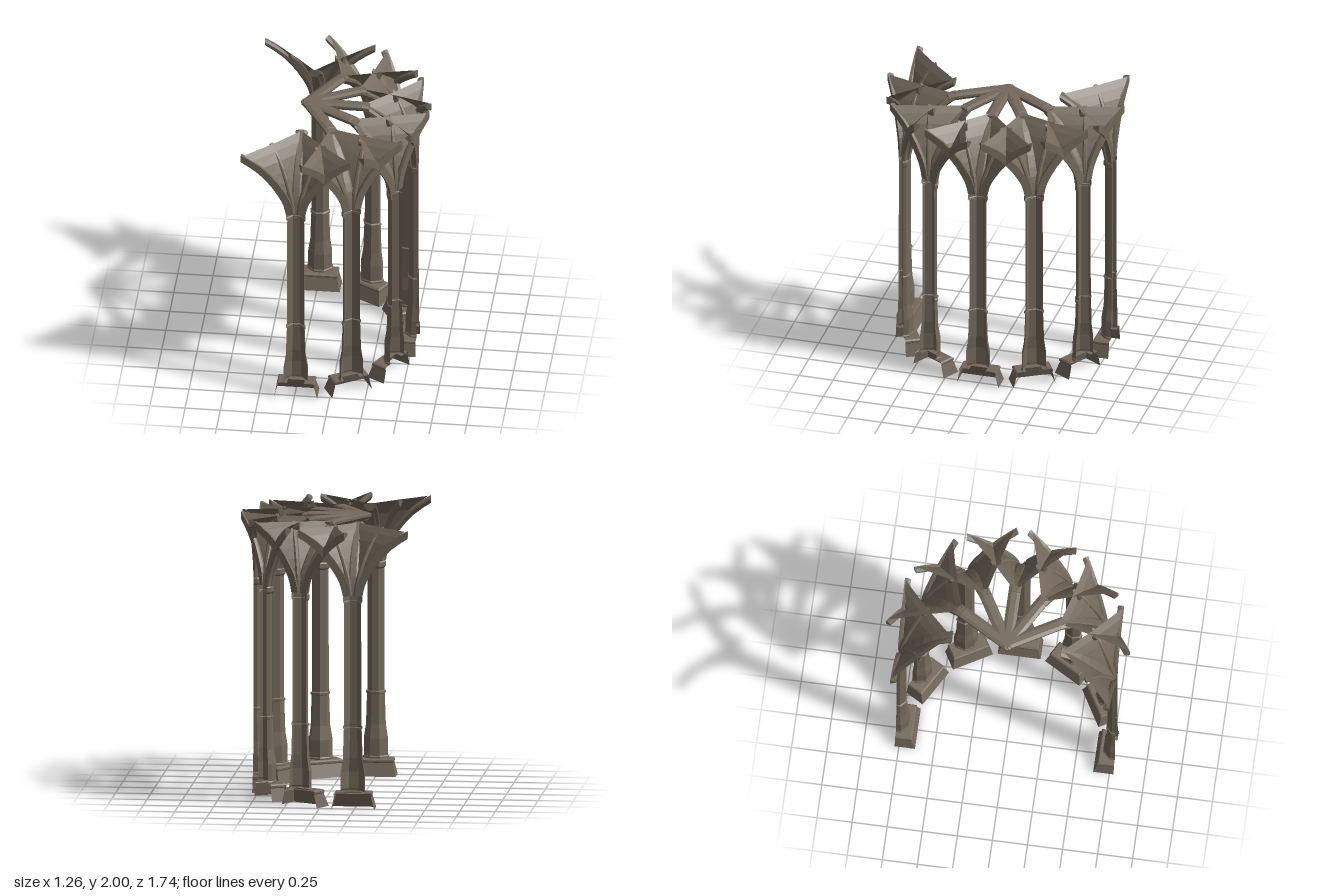
import * as THREE from 'three';

const stone = new THREE.MeshStandardMaterial({ color: 0x73685a, side: THREE.DoubleSide });
stone.name = 'weathered stone';

// Skins a row of cross-sections (lists of [x, y, z]) with flat facets
function skin(name, sections, { closed = false, capStart = false, capEnd = false } = {}) {
  const pos = [];
  const n = sections[0].length;
  for (let i = 0; i < sections.length - 1; i++) {
    const a = sections[i], b = sections[i + 1];
    for (let j = 0; j < (closed ? n : n - 1); j++) {
      const k = (j + 1) % n;
      pos.push(...a[j], ...a[k], ...b[k], ...a[j], ...b[k], ...b[j]);
    }
  }
  const cap = (s) => {
    const c = [0, 1, 2].map((d) => s.reduce((sum, p) => sum + p[d], 0) / n);
    for (let j = 0; j < n; j++) pos.push(...c, ...s[j], ...s[(j + 1) % n]);
  };
  if (capStart) cap(sections[0]);
  if (capEnd) cap(sections[sections.length - 1]);
  const g = new THREE.BufferGeometry();
  g.setAttribute('position', new THREE.Float32BufferAttribute(pos, 3));
  g.computeVertexNormals();
  const mesh = new THREE.Mesh(g, stone);
  mesh.name = name;
  return mesh;
}

// Half octagon, open towards the wall
const halfOctagon = (w, y) =>
  [[1, 0], [1, 0.41], [0.41, 1], [-0.41, 1], [-1, 0.41], [-1, 0]].map(([x, z]) => [x * w, y, z * w]);

// Half rectangle, open towards the wall
const halfBlock = (w, d, y) => [[w, y, 0], [w, y, d], [-w, y, d], [-w, y, 0]];

// Underside of an arch springing from the capital: distance out, height
const archCurve = new THREE.SplineCurve(
  [[0.07, 1.53], [0.083, 1.59], [0.11, 1.655], [0.185, 1.77], [0.28, 1.87], [0.39, 1.945]]
    .map(([u, y]) => new THREE.Vector2(u, y)));
const STEPS = 9;
const archPath = archCurve.getPoints(STEPS).map((p, i) => {
  const a = (i / STEPS) * Math.PI / 2;
  return { u: p.x, y: p.y, nu: -Math.cos(a), ny: Math.sin(a) };
});

// Moulded rib profile: offset across, height above the underside
const halfMould = [[0.013, 0], [0.026, 0.014], [0.043, 0.028], [0.043, 0.045], [0.02, 0.055]];
const fullMould = [...halfMould, ...halfMould.map(([v, h]) => [-v, h]).reverse()];
const wallMould = [[0, 0], ...halfMould, [0, 0.055]];
const thinMould = fullMould.map(([v, h]) => [v * 0.4, h]);

// Sweeps a profile along a path; place() turns (out, height, across) into a point
function rib(name, path, profile, place) {
  const sections = path.map((p) => profile.map(([v, h]) =>
    place(p.u + p.nu * h, Math.min(2, p.y + p.ny * h), v)));
  return skin(name, sections, { closed: true, capStart: true, capEnd: true });
}

function buildPier(hasLongRib) {
  const pier = new THREE.Group();

  // Splayed plinth with a rolled lip
  pier.add(skin('plinth', [
    halfBlock(0.153, 0.145, 0), halfBlock(0.13, 0.115, 0.095), halfBlock(0.134, 0.12, 0.1),
    halfBlock(0.134, 0.12, 0.113), halfBlock(0.125, 0.11, 0.122), halfBlock(0.06, 0.05, 0.122),
  ]));

  // Pedestal, shaft and capital
  const stack = (name, rows) => pier.add(skin(name, rows.map(([w, y]) => halfOctagon(w, y))));
  stack('pedestal', [[0.09, 0.12], [0.09, 0.132], [0.084, 0.14], [0.084, 0.26], [0.069, 0.36], [0.062, 0.58]]);
  stack('shaftRing', [[0.06, 0.578], [0.069, 0.583], [0.069, 0.596], [0.06, 0.603]]);
  stack('shaft', [[0.06, 0.6], [0.059, 1.485]]);
  stack('capital', [[0.058, 1.475], [0.069, 1.488], [0.069, 1.52], [0.062, 1.53], [0.02, 1.535]]);

  // Ribs along the wall, diagonal ribs and vault webs, mirrored left and right
  const c = Math.SQRT1_2;
  const diagonalPath = archPath.map((p) => ({ ...p, u: 0.07 + (p.u - 0.07) * 0.64 }));
  const webCurve = new THREE.SplineCurve(
    [[0.055, 1.53], [0.075, 1.62], [0.11, 1.705], [0.18, 1.81], [0.27, 1.92], [0.37, 1.995]]
      .map(([a, y]) => new THREE.Vector2(a, y)));
  for (const s of [1, -1]) {
    pier.add(rib('wallRib', archPath, wallMould, (u, y, v) => [s * u, y, v]));
    pier.add(rib('diagonalRib', diagonalPath, thinMould,
      (u, y, v) => [s * c * (u - v), y, c * (u + v)]));
    pier.add(skin('vaultWeb', webCurve.getPoints(8).map(({ x: a, y }) =>
      [[s * a, y, 0.01], [s * a / 2, y, a / 2], [s * 0.01, y, a]])));
  }

  // Rib springing inwards
  pier.add(rib('innerRib', archPath, fullMould, (u, y, v) => [v, y, u]));

  // Nearly level rib running on to the centre
  if (hasLongRib) {
    const path = [[0.34, 1.935], [0.39, 1.943], [0.55, 1.945], [0.805, 1.945]]
      .map(([u, y]) => ({ u, y, nu: 0, ny: 1 }));
    pier.add(rib('longRib', path, fullMould, (u, y, v) => [v, y, u]));
  }
  return pier;
}

export function createModel() {
  const model = new THREE.Group();
  model.name = 'vaultedApse';
  // Seven half piers on a semicircle, facing its centre
  const R = 0.78, CX = -0.24;
  for (let i = -3; i <= 3; i++) {
    const a = i * Math.PI / 6;
    const pier = buildPier(Math.abs(i) < 3);
    pier.name = 'pier' + (i + 4);
    pier.position.set(CX + R * Math.cos(a), 0, R * Math.sin(a));
    pier.rotation.y = Math.atan2(-Math.cos(a), -Math.sin(a));
    model.add(pier);
  }
  return model;
}
